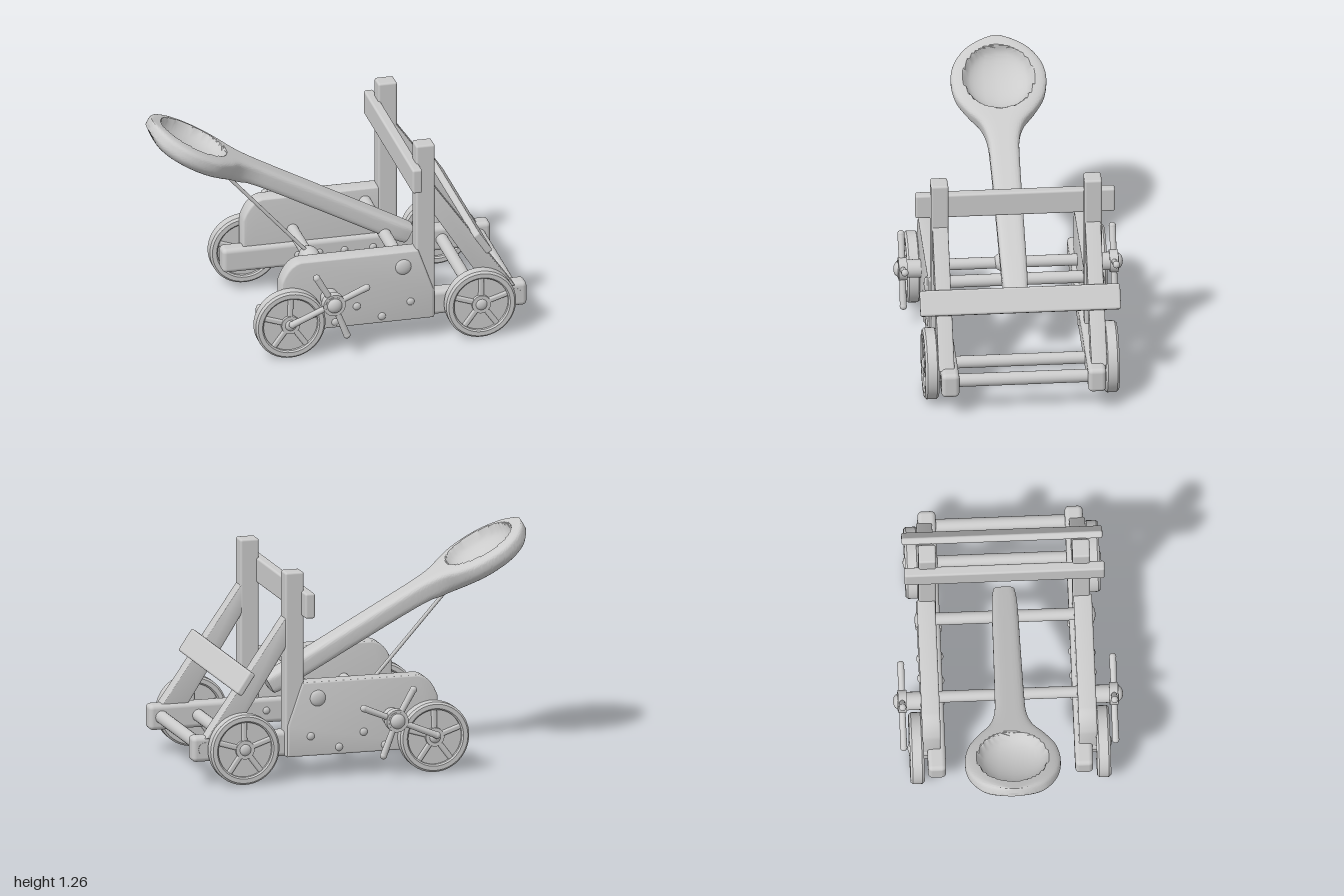
import * as THREE from 'three';
import { toCreasedNormals } from 'three/addons/utils/BufferGeometryUtils.js';
import { RoundedBoxGeometry } from 'three/addons/geometries/RoundedBoxGeometry.js';

const grey = new THREE.MeshStandardMaterial({ color: 0xcccccc });
const V = (x, y, z) => new THREE.Vector3(x, y, z);

function add(parent, name, geometry, x = 0, y = 0, z = 0) {
  const mesh = new THREE.Mesh(geometry, grey);
  mesh.name = name;
  mesh.position.set(x, y, z);
  parent.add(mesh);
  return mesh;
}

// Beam given by its extents on each axis
function beam(parent, name, [x0, x1], [y0, y1], [z0, z1], r = 0.012) {
  const g = new RoundedBoxGeometry(x1 - x0, y1 - y0, z1 - z0, 3, r);
  return add(parent, name, g, (x0 + x1) / 2, (y0 + y1) / 2, (z0 + z1) / 2);
}

// Round rod between two points
function rod(parent, name, a, b, r0, r1 = r0, sides = 20) {
  const d = b.clone().sub(a);
  const mesh = add(parent, name, new THREE.CylinderGeometry(r1, r0, d.length(), sides));
  mesh.position.copy(a).add(b).multiplyScalar(0.5);
  mesh.quaternion.setFromUnitVectors(V(0, 1, 0), d.normalize());
  return mesh;
}

// Flat board cut from an outline in the xy plane, from z0 to z1
function board(parent, name, shape, z0, z1) {
  const b = 0.01;
  const g = new THREE.ExtrudeGeometry(shape, {
    depth: z1 - z0 - 2 * b, bevelThickness: b, bevelSize: b, bevelOffset: -b, bevelSegments: 3, curveSegments: 10,
  });
  return add(parent, name, toCreasedNormals(g, 0.6), 0, 0, z0 + b);
}

function lathe(points, segments = 48) {
  const g = new THREE.LatheGeometry(points.map(([r, y]) => new THREE.Vector2(r, y)), segments);
  return toCreasedNormals(g.rotateX(Math.PI / 2), 0.6);
}

function dome(parent, name, x, y, z, r, depth) {
  add(parent, name, new THREE.SphereGeometry(r, 20, 12), x, y, z).scale.z = depth / r;
}

// Spoked wheel with a recessed web
function wheel(parent, x, y, z, s) {
  const g = new THREE.Group();
  g.name = 'wheel';
  g.position.set(x, y, z);
  parent.add(g);
  const h = 0.038;
  add(g, 'rim', lathe([[0.152, -h + 0.008], [0.16, -h], [0.184, -h], [0.195, -h + 0.012],
    [0.195, h - 0.012], [0.184, h], [0.16, h], [0.152, h - 0.008], [0.152, -h + 0.008]]));
  add(g, 'web', new THREE.CylinderGeometry(0.156, 0.156, 0.03, 40).rotateX(Math.PI / 2));
  for (let i = 0; i < 5; i++) {
    const a = 0.3 + i * Math.PI * 0.4;
    const spoke = add(g, 'spoke', new RoundedBoxGeometry(0.125, 0.03, 0.058, 2, 0.01),
      Math.cos(a) * 0.095, Math.sin(a) * 0.095, 0);
    spoke.rotation.z = a;
  }
  rod(g, 'hub', V(0, 0, -0.034), V(0, 0, 0.034), 0.052, 0.052, 28);
  dome(g, 'hubCap', 0, 0, s * 0.032, 0.032, 0.016);
}

// Throwing arm: lofted cross-sections widening into a hollowed spoon
function throwingArm() {
  const outline = new THREE.SplineCurve([[0, 0.06], [0.12, 0.07], [0.5, 0.075], [0.85, 0.08], [1, 0.088], [1.1, 0.12],
    [1.18, 0.185], [1.27, 0.24], [1.38, 0.26], [1.48, 0.243], [1.57, 0.185], [1.62, 0.115], [1.645, 0.05], [1.65, 0]]
    .map(p => new THREE.Vector2(...p)));
  const keel = new THREE.SplineCurve([[0, -0.04], [0.1, -0.056], [0.9, -0.058], [1.08, -0.079], [1.34, -0.088],
    [1.54, -0.068], [1.63, -0.015], [1.65, 0.015]].map(p => new THREE.Vector2(...p))).getPoints(200);
  const stations = outline.getPoints(150), N = 72, pos = [], index = [];
  const put = (u, v, z) => pos.push(0.44 - 0.88 * u + 0.475 * v, 0.43 + 0.475 * u + 0.88 * v, z);
  stations.forEach(({ x: u, y: w }, i) => {
    const k = keel.find(p => p.x >= u - 1e-6) || keel[keel.length - 1];
    const bowl = THREE.MathUtils.smoothstep(u, 0.95, 1.25);
    for (let j = 0; j < N; j++) {
      const a = j / N * Math.PI * 2, c = Math.cos(a), s = Math.sin(a);
      const e = s > 0 ? 0.5 : 0.5 + 0.3 * bowl;
      const z = w * Math.sign(c) * Math.abs(c) ** e;
      let v = s > 0 ? 0.055 * s ** 0.45 : k.y * Math.abs(s) ** e;
      const q = ((u - 1.385) / 0.2) ** 2 + (z / 0.188) ** 2;
      if (s > 0 && q < 1) v -= 0.1 * Math.sqrt(1 - q);
      put(u, v, z);
      if (i < stations.length - 1) {
        const n = (j + 1) % N, p = i * N, o = p + N;
        index.push(p + j, p + n, o + j, p + n, o + n, o + j);
      }
    }
  });
  const centre = pos.length / 3;
  put(0, 0, 0);
  for (let j = 0; j < N; j++) index.push(centre, (j + 1) % N, j);
  const g = new THREE.BufferGeometry();
  g.setAttribute('position', new THREE.Float32BufferAttribute(pos, 3));
  g.setIndex(index);
  return toCreasedNormals(g, 0.7);
}

function sideFrame(root, s) {
  const g = new THREE.Group();
  g.name = s > 0 ? 'frontSideFrame' : 'backSideFrame';
  root.add(g);
  const span = (a, b) => (s > 0 ? [a, b] : [-b, -a]);
  beam(g, 'baseBeam', [-0.5, 1], [0.13, 0.27], span(0.35, 0.448), 0.025);
  beam(g, 'post', [0.375, 0.48], [0.13, 1.155], span(0.37, 0.465));

  // Side panel with one sloped, rounded shoulder
  const panel = new THREE.Shape();
  panel.moveTo(-0.38, 0.13);
  panel.lineTo(0.47, 0.13);
  panel.lineTo(0.47, 0.3);
  panel.lineTo(0.385, 0.54);
  panel.lineTo(-0.27, 0.54);
  panel.quadraticCurveTo(-0.34, 0.53, -0.38, 0.42);
  panel.closePath();
  board(g, 'sidePanel', panel, ...span(0.375, 0.475));

  // Diagonal brace
  const brace = new THREE.Shape([[0.46, 0.93], [0.46, 0.76], [0.79, 0.24], [0.93, 0.26]]
    .map(p => new THREE.Vector2(...p)));
  board(g, 'brace', brace, ...span(0.372, 0.458));

  // Bolts
  dome(g, 'rodEnd', 0.3, 0.45, s * 0.473, 0.045, 0.018);
  for (const [x, y] of [[0.04, 0.245], [0.18, 0.17], [0.34, 0.24], [-0.08, 0.165]]) {
    dome(g, 'bolt', x, y, s * 0.473, 0.022, 0.013);
    dome(g, 'innerBolt', x, 0.2, s * 0.351, 0.02, 0.012);
  }

  // Wheels with axle stubs
  wheel(g, -0.345, 0.203, s * 0.506, s);
  wheel(g, 0.725, 0.2, s * 0.49, s);
  rod(g, 'axleStub', V(-0.345, 0.203, s * 0.4), V(-0.345, 0.203, s * 0.5), 0.045);

  // Winch handle: hub and four tapered grips
  const cx = -0.115, cy = 0.32;
  rod(g, 'winchCollar', V(cx, cy, s * 0.46), V(cx, cy, s * 0.6), 0.05);
  rod(g, 'winchHub', V(cx, cy, s * 0.55), V(cx, cy, s * 0.597), 0.062, 0.062, 28);
  dome(g, 'winchCap', cx, cy, s * 0.597, 0.042, 0.027);
  for (const [deg, len] of [[23, 0.2], [120, 0.19], [203, 0.25], [291, 0.205]]) {
    const a = deg * Math.PI / 180;
    const end = V(cx + len * Math.cos(a), cy + len * Math.sin(a), s * 0.575);
    rod(g, 'winchGrip', V(cx, cy, s * 0.575), end, 0.016, 0.019, 14);
    add(g, 'gripEnd', new THREE.SphereGeometry(0.02, 14, 10), end.x, end.y, end.z);
  }
}

export function createModel() {
  const root = new THREE.Group();
  root.name = 'catapult';
  for (const s of [1, -1]) sideFrame(root, s);

  // Cross members
  beam(root, 'topCrossbar', [0.335, 0.39], [0.91, 1.05], [-0.543, 0.543]);
  const slanted = add(root, 'braceCrossbar', new RoundedBoxGeometry(0.04, 0.14, 1.09, 3, 0.012), 0.728, 0.572, 0);
  slanted.rotation.z = 0.59;
  for (const [name, x, y, r] of [['endRod', 0.932, 0.203, 0.036], ['rearAxle', 0.725, 0.2, 0.034],
    ['pivotRod', 0.3, 0.463, 0.034], ['winchShaft', -0.105, 0.342, 0.032]]) {
    rod(root, name, V(x, y, -0.45), V(x, y, 0.45), r);
  }
  const drum = add(root, 'winchDrum', new THREE.SphereGeometry(0.058, 28, 18), -0.105, 0.345, 0);
  drum.scale.z = 1.45;

  // Arm and pull rope
  add(root, 'throwingArm', throwingArm());
  rod(root, 'rope', V(-0.58, 0.895, 0), V(-0.105, 0.365, 0), 0.01, 0.01, 10);
  return root;
}
